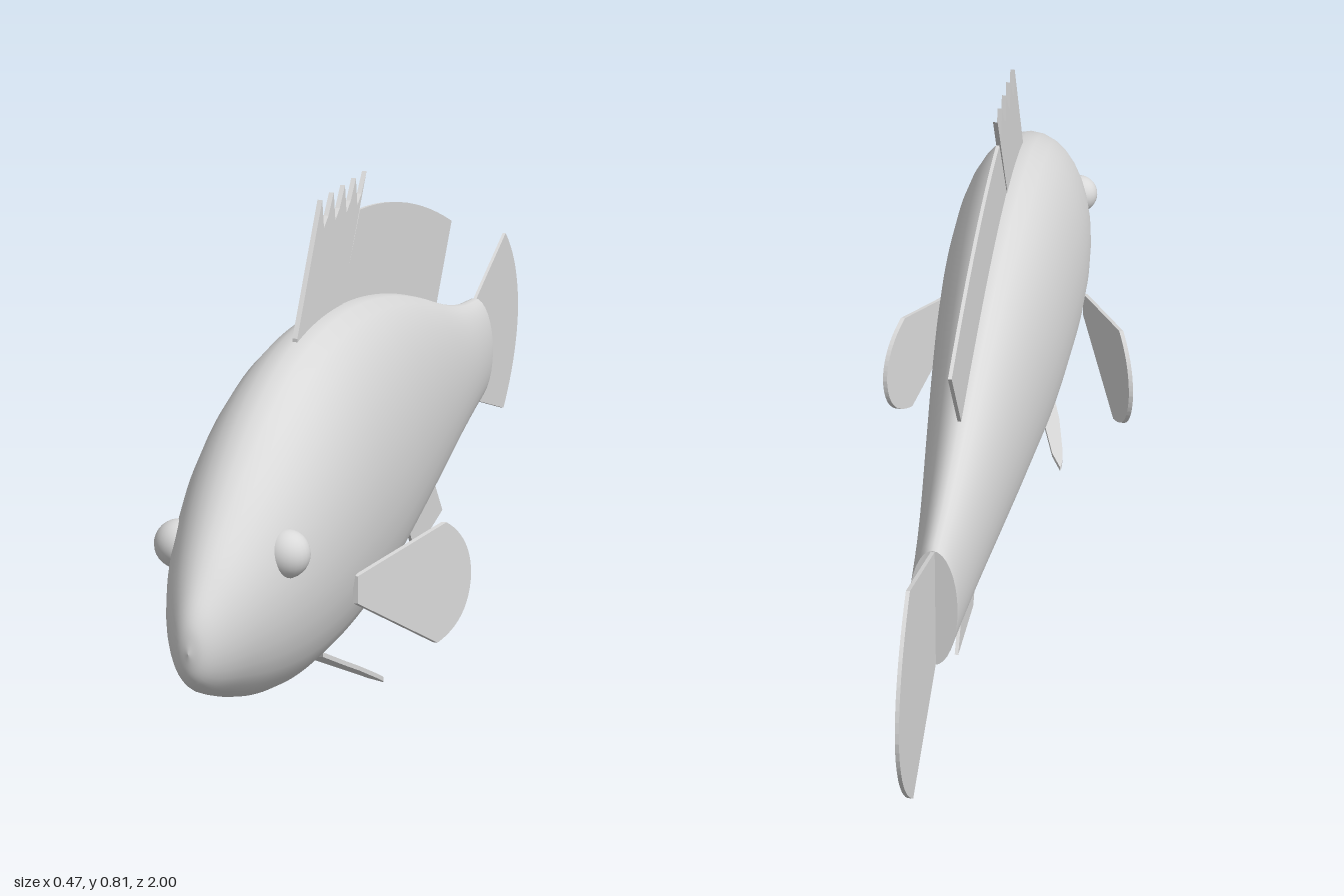
import * as THREE from 'three';

const skin = new THREE.MeshStandardMaterial({ color: 0xd9d9d9 });
skin.name = 'pale grey';

function addMesh(group, name, geometry) {
  const mesh = new THREE.Mesh(geometry, skin);
  mesh.name = name;
  group.add(mesh);
  return mesh;
}

// Body stations from nose to tail: z, top, bottom, half width
const STATIONS = [
  [1.0, 0.285, 0.285, 0], [0.99, 0.328, 0.243, 0.022], [0.96, 0.37, 0.214, 0.043],
  [0.9, 0.427, 0.184, 0.07], [0.8, 0.5, 0.144, 0.1], [0.68, 0.565, 0.113, 0.12],
  [0.54, 0.61, 0.096, 0.128], [0.38, 0.626, 0.09, 0.125], [0.2, 0.615, 0.097, 0.115],
  [0, 0.579, 0.119, 0.097], [-0.2, 0.526, 0.147, 0.077], [-0.4, 0.464, 0.178, 0.057],
  [-0.53, 0.434, 0.197, 0.046], [-0.64, 0.42, 0.21, 0.038],
];

// Smooth loft of elliptical rings through the stations
function bodyGeometry(rings = 72, sides = 32) {
  const upper = new THREE.CatmullRomCurve3(
    STATIONS.map(([z, t, , w]) => new THREE.Vector3(z, t, w)), false, 'catmullrom');
  const lower = new THREE.CatmullRomCurve3(
    STATIONS.map(([z, , b]) => new THREE.Vector3(z, b, 0)), false, 'catmullrom');
  const positions = [], index = [];
  for (let i = 0; i <= rings; i++) {
    const u = upper.getPoint(i / rings), l = lower.getPoint(i / rings);
    for (let j = 0; j < sides; j++) {
      const a = (j / sides) * Math.PI * 2;
      positions.push(u.z * Math.sin(a), (u.y + l.y) / 2 + ((u.y - l.y) / 2) * Math.cos(a), u.x);
      if (i === rings) continue;
      const k = (j + 1) % sides, p = i * sides, q = p + sides;
      if (i > 0) index.push(p + j, p + k, q + j);
      index.push(p + k, q + k, q + j);
    }
  }
  const g = new THREE.BufferGeometry();
  g.setAttribute('position', new THREE.Float32BufferAttribute(positions, 3));
  g.setIndex(index);
  g.computeVertexNormals();
  return g;
}

// Thin plate; an outline entry of four numbers is a curve: control point, then end point
function plate(outline, thickness, mapPoint) {
  const shape = new THREE.Shape();
  outline.forEach((p, i) => {
    const a = mapPoint(p[0], p[1]);
    if (i === 0) shape.moveTo(...a);
    else if (p.length === 4) shape.quadraticCurveTo(...a, ...mapPoint(p[2], p[3]));
    else shape.lineTo(...a);
  });
  return new THREE.ExtrudeGeometry(shape, { depth: thickness, bevelEnabled: false, curveSegments: 12 })
    .translate(0, 0, -thickness / 2);
}

// Upright fin drawn as (z, y)
const uprightFin = (outline, thickness = 0.006) =>
  plate(outline, thickness, (z, y) => [-z, y]).rotateY(Math.PI / 2);

// Move vertices by a rule, then refresh the normals
function bend(g, rule) {
  const p = g.attributes.position, v = new THREE.Vector3();
  for (let i = 0; i < p.count; i++) {
    rule(v.fromBufferAttribute(p, i));
    p.setXYZ(i, v.x, v.y, v.z);
  }
  g.computeVertexNormals();
  return g;
}

export function createModel() {
  const fish = new THREE.Group();
  fish.name = 'fish';

  addMesh(fish, 'body', bodyGeometry());
  addMesh(fish, 'tailStump', new THREE.CircleGeometry(1, 32).rotateY(Math.PI)
    .scale(0.038, 0.105, 1).translate(0, 0.315, -0.64));

  // Spiny front dorsal fin with swept-back points
  const spines = [[0.5, 0.6], [0.5, 0.622]];
  for (let i = 0; i < 5; i++) {
    const z = 0.366 - i * 0.0615;
    spines.push([z, 0.815]);
    if (i < 4) spines.push([z - 0.008, 0.768], [z - 0.032, 0.783]);
  }
  spines.push([0.26, 0.625], [0.26, 0.59]);
  addMesh(fish, 'spinyDorsalFin', uprightFin(spines, 0.008));

  // Soft dorsal fin, its base sunk in the back
  addMesh(fish, 'softDorsalFin', uprightFin([
    [0.27, 0.61], [0.155, 0.757], [-0.13, 0.735, -0.445, 0.615],
    [-0.34, 0.482], [-0.33, 0.45], [0, 0.54], [0.24, 0.58]]));

  addMesh(fish, 'tailFin', uprightFin([
    [-0.62, 0.22], [-0.645, 0.21], [-0.88, 0.13], [-0.995, 0.215, -1, 0.315],
    [-0.995, 0.42, -0.88, 0.5], [-0.645, 0.42], [-0.62, 0.41]]));

  addMesh(fish, 'analFin', uprightFin([
    [-0.1, 0.17], [-0.118, 0.14], [-0.2, 0.038], [-0.39, 0.062], [-0.305, 0.165], [-0.3, 0.19]]));

  for (const [side, label] of [[1, 'left'], [-1, 'right']]) {
    // Eye, half buried in the head
    addMesh(fish, label + 'Eye', new THREE.SphereGeometry(0.037, 24, 16))
      .position.set(side * 0.083, 0.38, 0.807);

    // Pectoral fin, splayed outward towards the back
    const pectoral = uprightFin([
      [0.577, 0.225], [0.577, 0.27], [0.53, 0.277], [0.37, 0.3], [0.31, 0.26, 0.308, 0.195],
      [0.312, 0.115, 0.39, 0.1]], 0.008);
    addMesh(fish, label + 'PectoralFin', bend(pectoral, (v) => {
      v.x += side * (0.121 + 0.42 * (0.575 - v.z));
    }));

    // Pelvic fin, a small leaf sloping down and back, drawn as (x, z)
    const pelvic = plate([
      [0.02, 0.52], [0.055, 0.54], [0.072, 0.48], [0.086, 0.44], [0.099, 0.38],
      [0.103, 0.352, 0.098, 0.346], [0.08, 0.372], [0.06, 0.424]],
      0.008, (x, z) => [side * x, -z]).rotateX(-Math.PI / 2);
    addMesh(fish, label + 'PelvicFin', bend(pelvic, (v) => {
      v.y += 0.102 - 0.58 * (0.51 - v.z);
    }));
  }
  return fish;
}
